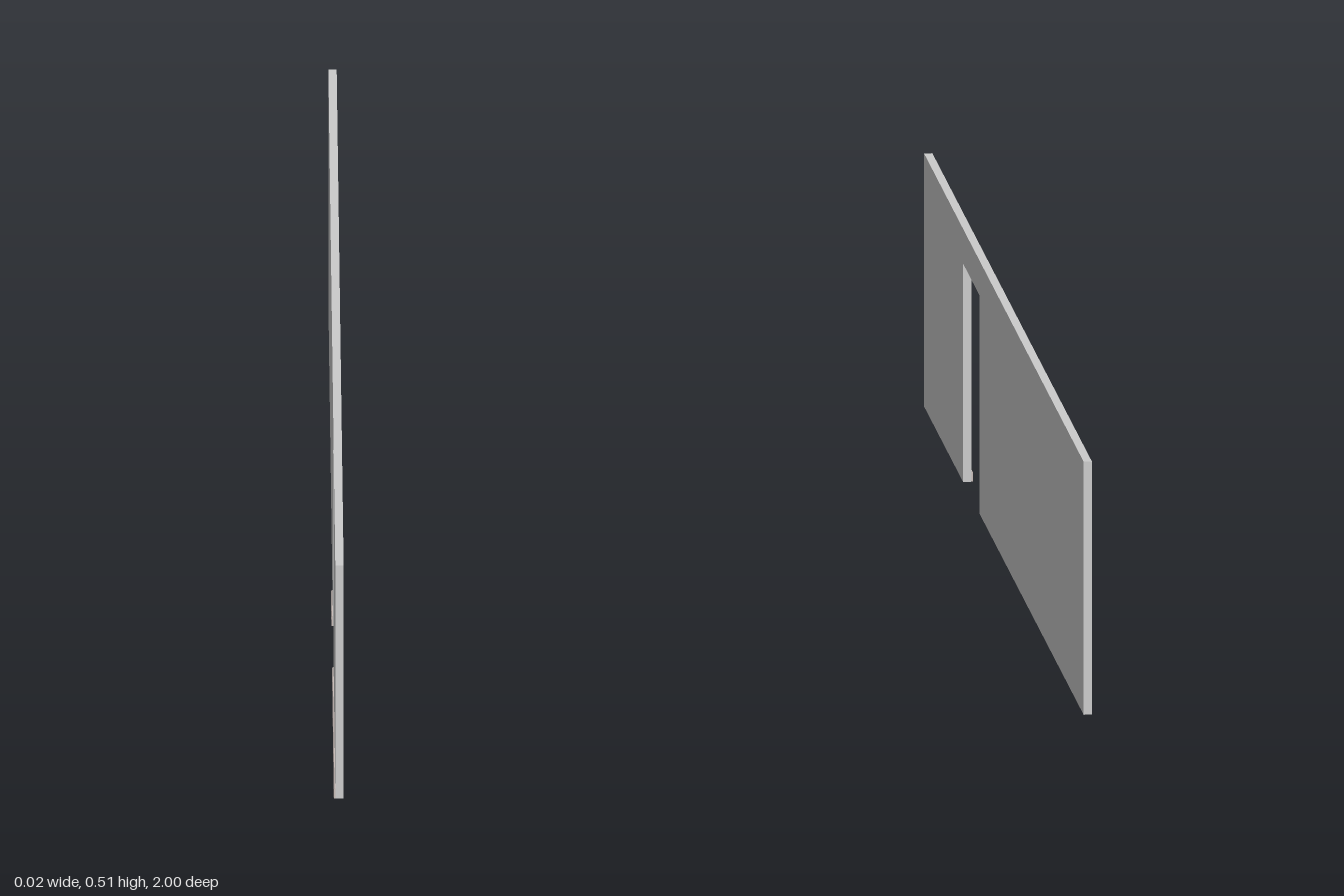
import * as THREE from 'three';

const FACE = 0.009, BACK = -0.007, HEIGHT = 0.51;
const DOOR = { z0: 0.305, z1: 0.51, top: 0.44 };

const toShape = (points) => new THREE.Shape(points.map(([x, y]) => new THREE.Vector2(x, y)));

export function createModel() {
  const group = new THREE.Group();
  group.name = 'wallWithDoorway';
  const wallMaterial = new THREE.MeshStandardMaterial({ color: 0xcccccc });
  const skirtingMaterial = new THREE.MeshStandardMaterial({ color: 0xc8bcb8 });

  // Wall: side outline with a doorway notch, extruded through its thickness
  const outline = toShape([
    [-1, 0], [DOOR.z0, 0], [DOOR.z0, DOOR.top], [DOOR.z1, DOOR.top],
    [DOOR.z1, 0], [1, 0], [1, HEIGHT], [-1, HEIGHT],
  ]);
  const wallGeometry = new THREE.ExtrudeGeometry(outline, { depth: FACE - BACK, bevelEnabled: false });
  wallGeometry.rotateY(-Math.PI / 2).translate(FACE, 0, 0);
  const wall = new THREE.Mesh(wallGeometry, wallMaterial);
  wall.name = 'wall';
  group.add(wall);

  // Skirting boards: bevelled profile run along the wall on either side of the doorway
  const profile = toShape([[-0.01, 0], [BACK, 0], [BACK, 0.022], [-0.0085, 0.022], [-0.01, 0.019]]);
  const runs = [['shortSkirting', 0.2, DOOR.z0], ['longSkirting', DOOR.z1, 1]];
  for (const [name, start, end] of runs) {
    const geometry = new THREE.ExtrudeGeometry(profile, { depth: end - start, bevelEnabled: false });
    const skirting = new THREE.Mesh(geometry, skirtingMaterial);
    skirting.name = name;
    skirting.position.z = start;
    group.add(skirting);
  }

  return group;
}
